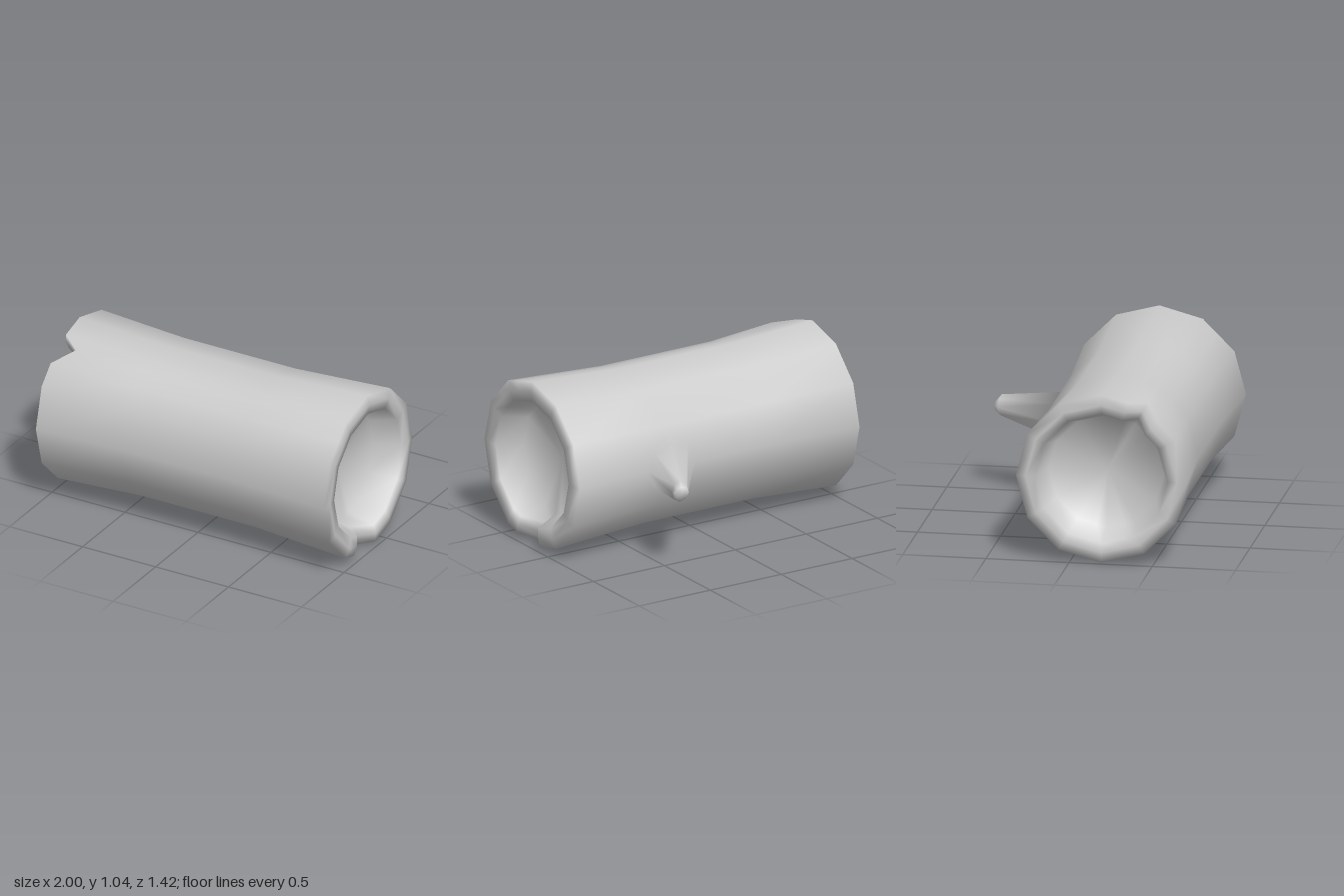
import * as THREE from 'three';
import { mergeVertices } from 'three/addons/utils/BufferGeometryUtils.js';

const CY = 0.522, CZ = 0.193;

// Smooth surface through equal-length closed rings of [x, y, z]
function loft(rings) {
  const n = rings[0].length, index = [];
  for (let i = 0; i < rings.length - 1; i++) {
    for (let j = 0; j < n; j++) {
      const a = i * n + j, b = i * n + (j + 1) % n;
      index.push(a, b, a + n, b, b + n, a + n);
    }
  }
  let geo = new THREE.BufferGeometry();
  geo.setAttribute('position', new THREE.Float32BufferAttribute(rings.flat(2), 3));
  geo.setIndex(index);
  geo = mergeVertices(geo);
  geo.computeVertexNormals();
  return geo;
}

// Log with a shallow hollow in each end: 12 sides, with extra columns beside each split in the rim
function logGeometry() {
  const angles = [0, 30, 47, 60, 71, 90, 120, 150, 180, 210, 240, 260, 270, 289, 300, 330];
  const SPLIT = 0.125;
  // [x, radius, lip], lip = +1 / -1 at the ends that carry a split
  const profile = [
    [0.77, 0, 0], [0.82, 0.345, 0],
    [0.985, 0.398, 1], [0.995, 0.46, 1], [0.985, 0.521, 1],
    [0.35, 0.484, 0], [-0.42, 0.484, 0],
    [-0.99, 0.515, -1], [-1, 0.455, -1], [-0.99, 0.398, -1],
    [-0.82, 0.345, 0], [-0.77, 0, 0],
  ];
  return loft(profile.map(([x, r, lip]) => angles.map((deg) => {
    const mid = Math.floor(deg / 30) * 30 + 15;
    const onSide = Math.cos(Math.PI / 12) / Math.cos(THREE.MathUtils.degToRad(deg - mid));
    const a = THREE.MathUtils.degToRad(deg);
    const split = (lip === 1 && deg === 270) || (lip === -1 && deg === 60);
    return [
      split ? x - lip * SPLIT : x,
      CY + r * onSide * Math.sin(a),
      CZ + r * onSide * Math.cos(a),
    ];
  })));
}

// Tapered, leaning branch stub with a rounded tip
function branchGeometry() {
  // [centre x, z, half width, half height, tilt of the ring in z]
  const sections = [
    [0.29, -0.23, 0.19, 0.172, 0],
    [0.315, -0.29, 0.163, 0.15, 0],
    [0.5, -0.67, 0.052, 0.066, 0.012],
    [0.503, -0.695, 0.04, 0.035, 0.015],
    [0.503, -0.697, 0, 0, 0],
  ];
  const geo = loft(sections.map(([x, z, w, h, tilt]) => Array.from({ length: 8 }, (_, j) => {
    const a = -j * Math.PI / 4;
    return [x + w * Math.cos(a), CY + h * Math.sin(a), z + tilt * Math.cos(a)];
  })));
  // The base takes the log's own normal so the two shade as one surface
  const { position, normal } = geo.attributes;
  for (let i = 0; i < position.count; i++) {
    if (position.getZ(i) < -0.3) continue;
    const n = new THREE.Vector3(0, position.getY(i) - CY, position.getZ(i) - CZ).normalize();
    normal.setXYZ(i, n.x, n.y, n.z);
  }
  return geo;
}

export function createModel() {
  const group = new THREE.Group();
  const wood = new THREE.MeshStandardMaterial({ color: 0xcccccc });
  const add = (name, geo) => {
    const mesh = new THREE.Mesh(geo, wood);
    mesh.name = name;
    group.add(mesh);
  };
  add('hollowLog', logGeometry());
  add('branchStub', branchGeometry());
  return group;
}
